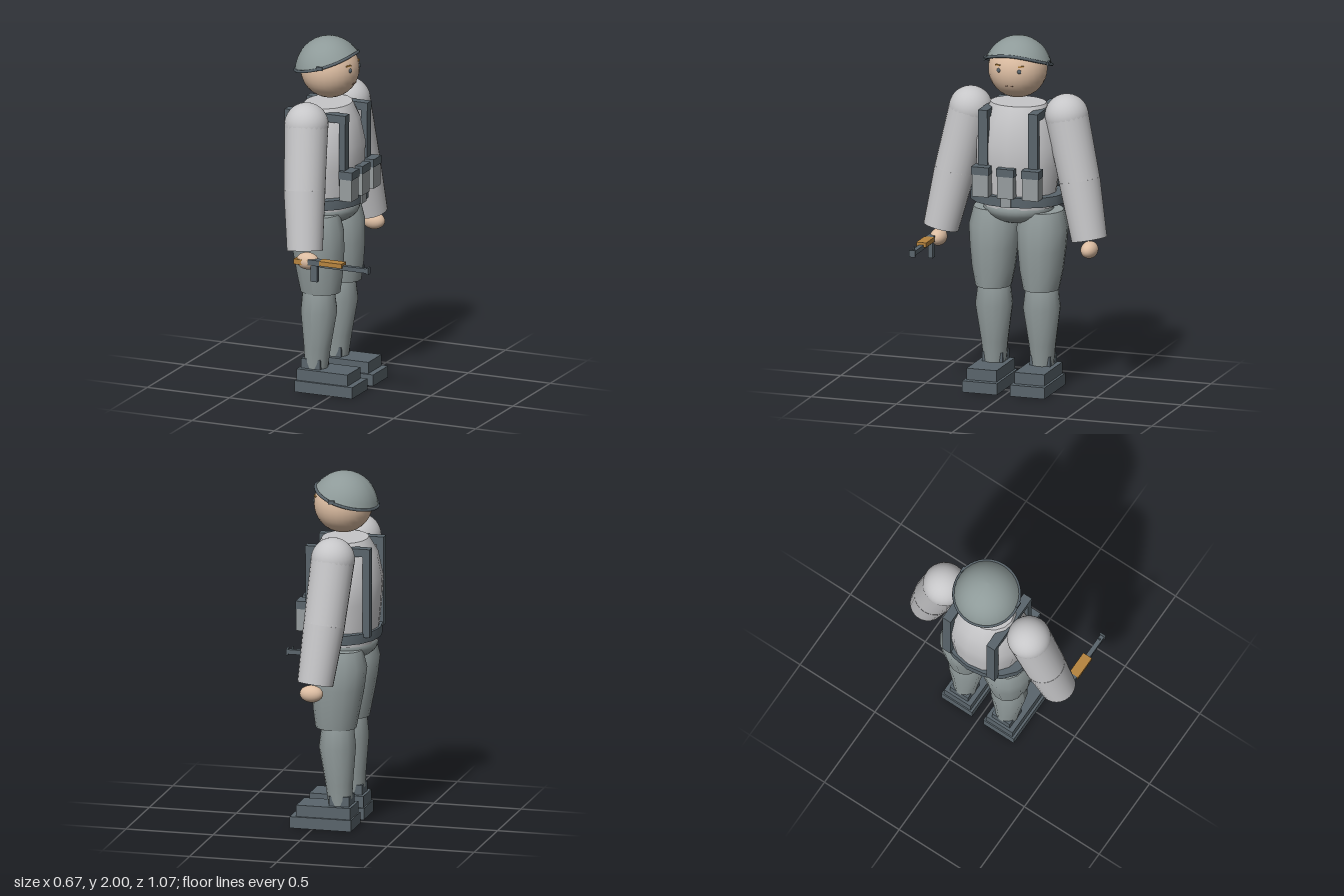
import * as THREE from 'three';

const mat = (name, color, side = THREE.FrontSide) => {
  const m = new THREE.MeshStandardMaterial({ color, side });
  m.name = name;
  return m;
};

export function createModel() {
  const jacket = mat('jacket grey', 0xc6c6c8);
  const cloth = mat('trouser grey', 0x929c9c);
  const shell = mat('helmet grey', 0x8e9a99, THREE.DoubleSide);
  const dark = mat('dark slate', 0x5a656c);
  const pouchGrey = mat('pouch grey', 0x979d9f);
  const skin = mat('skin', 0xdcbda2);
  const wood = mat('wood', 0xb6843f);
  const lip = mat('lip brown', 0x9a7662);

  const model = new THREE.Group();
  model.name = 'soldier';

  const add = (parent, name, geo, material, x = 0, y = 0, z = 0) => {
    const m = new THREE.Mesh(geo, material);
    m.name = name;
    m.position.set(x, y, z);
    parent.add(m);
    return m;
  };
  const group = (name, parent = model) => {
    const g = new THREE.Group();
    g.name = name;
    parent.add(g);
    return g;
  };
  // Box given by its min and max extents
  const box = (parent, name, material, x0, x1, y0, y1, z0, z1) =>
    add(parent, name, new THREE.BoxGeometry(x1 - x0, y1 - y0, z1 - z0), material,
      (x0 + x1) / 2, (y0 + y1) / 2, (z0 + z1) / 2);
  const ball = (parent, name, material, x, y, z, rx, ry = rx, rz = rx) =>
    add(parent, name, new THREE.SphereGeometry(1, 28, 18).scale(rx, ry, rz), material, x, y, z);
  // Stacked elliptical sections, bottom to top: [y, centre x, radius x, radius z]
  const loft = (rings, sides) => {
    const n = rings.length - 1;
    const geo = new THREE.CylinderGeometry(1, 1, 1, sides, n);
    const p = geo.attributes.position;
    for (let i = 0; i < p.count; i++) {
      const [y, cx, rx, rz] = rings[Math.round((p.getY(i) + 0.5) * n)];
      p.setXYZ(i, cx + p.getX(i) * rx, y, p.getZ(i) * rz);
    }
    geo.computeVertexNormals();
    return geo;
  };
  // Tapered limb between two points
  const limb = (parent, name, material, a, b, ra, rb) => {
    const d = new THREE.Vector3().subVectors(a, b);
    const m = add(parent, name, new THREE.CylinderGeometry(ra, rb, d.length(), 24), material);
    m.position.addVectors(a, b).multiplyScalar(0.5);
    m.quaternion.setFromUnitVectors(new THREE.Vector3(0, 1, 0), d.normalize());
    return m;
  };

  // Head and face, looking along +x
  const head = group('head');
  head.position.set(-0.115, 1.82, 0);
  ball(head, 'face', skin, 0, 0, 0, 0.165);
  for (const s of [-1, 1]) {
    ball(head, 'eye', dark, 0.151, 0.016, s * 0.06, 0.008, 0.012, 0.012);
    const brow = add(head, 'eyebrow', new THREE.BoxGeometry(0.009, 0.007, 0.034), wood, 0.144, 0.044, s * 0.068);
    brow.rotation.y = -s * 0.42;
    add(head, 'mouthMark', new THREE.BoxGeometry(0.008, 0.005, 0.012), lip, 0.149, -0.07, s * 0.016);
  }

  // Helmet: a dome whose rim rises towards the front
  const R = 0.184;
  const rimY = c => 0.036 + 0.055 * c + 0.009 * c * c;
  const domePoint = (az, t) => {
    const th = t * Math.acos(rimY(Math.cos(az)) / R);
    const r = R + 0.005 * Math.pow(t, 6);
    return new THREE.Vector3(
      r * Math.sin(th) * Math.cos(az) - 0.006, r * Math.cos(th) - 0.003, -r * Math.sin(th) * Math.sin(az));
  };
  const dome = new THREE.SphereGeometry(1, 28, 10, 0, Math.PI * 2, 0, Math.PI / 2);
  const dp = dome.attributes.position, uv = dome.attributes.uv;
  for (let i = 0; i < dp.count; i++) {
    const az = Math.atan2(-dp.getZ(i), dp.getX(i));
    const q = domePoint(az, Math.acos(Math.min(1, dp.getY(i))) / (Math.PI / 2));
    dp.setXYZ(i, q.x, q.y, q.z);
  }
  dome.computeVertexNormals();
  add(head, 'helmet', dome, shell);
  const rim = [];
  for (let i = 0; i < 20; i++) rim.push(domePoint(i / 20 * Math.PI * 2, 1));
  add(head, 'helmetBand',
    new THREE.TubeGeometry(new THREE.CatmullRomCurve3(rim, true), 48, 0.009, 6, true), dark);
  for (const s of [-1, 1]) {
    add(head, 'helmetClip', new THREE.BoxGeometry(0.036, 0.02, 0.012), dark, 0.02, 0.045, s * 0.186);
  }

  // Torso, hips and belt
  const body = group('body');
  add(body, 'torso', loft([
    [1.04, -0.13, 0.175, 0.21], [1.13, -0.13, 0.185, 0.217], [1.28, -0.13, 0.2, 0.24],
    [1.4, -0.13, 0.206, 0.24], [1.54, -0.13, 0.178, 0.2], [1.625, -0.125, 0.13, 0.16]], 16), jacket);
  ball(body, 'hips', cloth, -0.13, 1.03, 0, 0.178, 0.095, 0.2);
  add(body, 'belt', loft([[1.067, -0.12, 0.208, 0.272], [1.122, -0.12, 0.208, 0.272]], 16), dark);
  box(body, 'buckle', pouchGrey, 0.07, 0.093, 1.067, 1.122, -0.03, 0.03);

  // Shoulder straps
  const straps = group('straps');
  for (const s of [-1, 1]) {
    const z0 = s * 0.147 - 0.027, z1 = s * 0.147 + 0.027;
    box(straps, 'frontStrap', dark, 0.02, 0.055, 1.2, 1.6, z0, z1);
    box(straps, 'backStrap', dark, -0.312, -0.272, 1.1, 1.6, z0, z1);
    box(straps, 'topStrap', dark, -0.312, 0.058, 1.56, 1.605, z0, z1);
  }

  // Ammunition pouches
  const pouches = group('pouches');
  for (const z of [-0.147, 0, 0.147]) {
    box(pouches, 'pouch', pouchGrey, 0.03, 0.104, 1.12, 1.285, z - 0.047, z + 0.047);
    box(pouches, 'pouchFlap', dark, 0.028, 0.108, 1.245, 1.29, z - 0.051, z + 0.051);
  }

  // Arms and legs
  for (const s of [-1, 1]) {
    const arm = group(s > 0 ? 'rightArm' : 'leftArm');
    const V = (x, y, z) => new THREE.Vector3(x, y, s * z);
    const shoulder = V(-0.13, 1.565, 0.282), elbow = V(-0.103, 1.21, 0.366), wrist = V(-0.07, 0.885, 0.435);
    ball(arm, 'shoulder', jacket, ...shoulder, 0.123);
    limb(arm, 'upperArm', jacket, shoulder, elbow, 0.122, 0.115);
    ball(arm, 'elbow', jacket, ...elbow, 0.115);
    limb(arm, 'forearm', jacket, elbow, wrist, 0.116, 0.1);
    ball(arm, 'hand', skin, -0.05, 0.83, s * 0.443, 0.066, 0.048, 0.047);

    const leg = group(s > 0 ? 'rightLeg' : 'leftLeg');
    leg.position.z = s * 0.14;
    add(leg, 'thigh', loft([
      [0.57, -0.11, 0.115, 0.1], [0.68, -0.114, 0.133, 0.122], [0.8, -0.122, 0.148, 0.135],
      [0.92, -0.13, 0.155, 0.144], [1.02, -0.13, 0.13, 0.118]], 14), cloth);
    add(leg, 'shin', loft([
      [0.12, -0.135, 0.065, 0.062], [0.25, -0.128, 0.077, 0.076],
      [0.46, -0.118, 0.103, 0.106], [0.575, -0.12, 0.09, 0.092]], 14), cloth);
    const boot = group('boot', leg);
    box(boot, 'ankleCuff', dark, -0.2, -0.085, 0.11, 0.185, -0.06, 0.06);
    box(boot, 'bootUpper', dark, -0.215, 0.095, 0.06, 0.13, -0.088, 0.088);
    box(boot, 'bootSole', dark, -0.222, 0.13, 0, 0.065, -0.102, 0.102);
  }

  // Rifle held in the +z hand
  const rifle = group('rifle');
  rifle.position.z = 0.465;
  box(rifle, 'stock', wood, -0.115, -0.03, 0.815, 0.845, -0.022, 0.022);
  box(rifle, 'receiver', dark, -0.03, 0.042, 0.818, 0.85, -0.022, 0.022);
  box(rifle, 'handguard', wood, 0.042, 0.18, 0.824, 0.85, -0.029, 0.029);
  box(rifle, 'barrel', dark, 0.04, 0.325, 0.81, 0.836, -0.013, 0.013);
  box(rifle, 'muzzle', dark, 0.325, 0.335, 0.803, 0.842, -0.018, 0.018);
  box(rifle, 'frontSight', dark, 0.296, 0.304, 0.83, 0.855, -0.004, 0.004);
  box(rifle, 'magazine', dark, -0.016, 0.024, 0.723, 0.82, -0.013, 0.013);

  return model;
}
